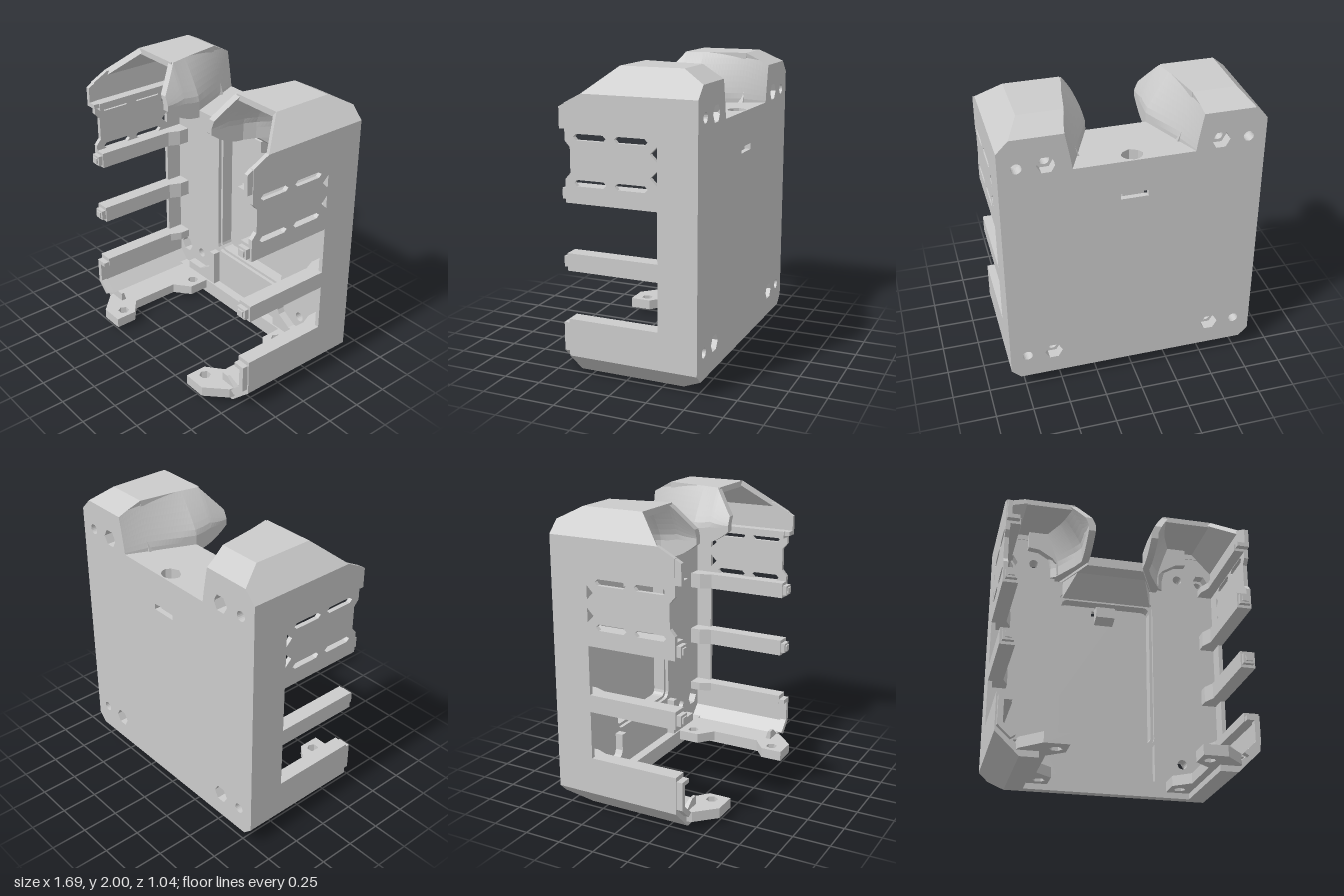
import * as THREE from 'three';
import { ConvexGeometry } from 'three/addons/geometries/ConvexGeometry.js';

const V = (a) => new THREE.Vector3(...a);
const path = (pts) => pts.map(([x, y]) => new THREE.Vector2(x, y));
const polygon = (cx, cy, r, n, turn = 0) => Array.from({ length: n }, (_, i) => {
  const a = turn + (i / n) * Math.PI * 2;
  return [cx + r * Math.cos(a), cy + r * Math.sin(a)];
});
const roundRect = (x0, x1, y0, y1, r) =>
  [[x1 - r, y1 - r, 0], [x0 + r, y1 - r, 1], [x0 + r, y0 + r, 2], [x1 - r, y0 + r, 3]].flatMap(([cx, cy, q]) =>
    [0, 1, 2, 3].map((i) => {
      const a = (q + i / 3) * Math.PI / 2;
      return [cx + r * Math.cos(a), cy + r * Math.sin(a)];
    }));

function extrude(outline, holes, depth) {
  const s = new THREE.Shape(path(outline));
  for (const h of holes) s.holes.push(new THREE.Path(path(h)));
  return new THREE.ExtrudeGeometry(s, { depth, bevelEnabled: false });
}
const hull = (pts) => new ConvexGeometry(pts.map(V));
const box = (x0, x1, y0, y1, z0, z1) =>
  new THREE.BoxGeometry(x1 - x0, y1 - y0, z1 - z0).translate((x0 + x1) / 2, (y0 + y1) / 2, (z0 + z1) / 2);
// plan outline (x, z) extruded from yTop downwards
const slab = (outline, holes, yTop, h) => extrude(outline, holes, h).rotateX(Math.PI / 2).translate(0, yTop, 0);

function flat(geo) {
  const g = geo.index ? geo.toNonIndexed() : geo;
  g.computeVertexNormals();
  return g;
}
function mirrorX(geo) {
  const g = geo.clone(), p = g.attributes.position;
  for (let i = 0; i < p.count; i += 3) {
    const t = [0, 2, 1].map((k) => new THREE.Vector3().fromBufferAttribute(p, i + k));
    t.forEach((v, k) => p.setXYZ(i + k, -v.x, v.y, v.z));
  }
  g.computeVertexNormals();
  return g;
}

export function createModel() {
  const group = new THREE.Group();
  const mat = new THREE.MeshStandardMaterial({ color: 0xcccccc, flatShading: true });
  const add = (name, geo) => {
    const m = new THREE.Mesh(flat(geo), mat);
    m.name = name;
    group.add(m);
    return m;
  };
  const pair = (name, geo) => {
    const m = add(name + 'Left', geo);
    add(name + 'Right', mirrorX(m.geometry));
  };

  // Back plate in layers: screw holes, nut recesses, stepped pocket, cable channel
  const half = [[0.783, 0.09], [0.845, 0.15], [0.845, 1.84], [0.767, 1.92], [0.44, 1.92], [0.39, 1.6]];
  const pocket = [-0.33, 0.33, 0.41, 1.47, 0.04];
  const layers = [
    { z: -0.52, d: 0.015, outer: 'round', inner: 'hex', slot: true },
    { z: -0.505, d: 0.02, outer: 'round', inner: 'hex', slot: true, channel: 1.45 },
    { z: -0.485, d: 0.035, outer: 'round', inner: 'hex', pocket, channel: 1.474 },
    { z: -0.45, d: 0.05, outer: 'hex', inner: 'round', pocket, channel: 1.474 },
    { z: -0.4, d: 0.025, outer: 'hex', inner: 'round', pocket: [-0.35, 0.35, 0.39, 1.51, 0.05] },
  ];
  for (const L of layers) {
    const right = half.slice();
    if (L.channel) right.push([0.065, 1.6], [0.065, L.channel]);
    const outline = [...right, ...right.map(([x, y]) => [-x, y]).reverse()];
    const holes = [];
    const bore = (x, y, kind) => holes.push(kind === 'hex' ? polygon(x, y, 0.06, 6) : polygon(x, y, 0.034, 20));
    for (const s of [-1, 1]) for (const y of [0.265, 1.725]) {
      bore(s * 0.73, y, L.outer);
      bore(s * 0.55, y, L.inner);
    }
    if (L.slot) holes.push([[-0.09, 1.4], [0.09, 1.4], [0.09, 1.44], [-0.09, 1.44]]);
    if (L.pocket) holes.push(roundRect(...L.pocket));
    add('backPlate', extrude(outline, holes, L.d).translate(0, 0, L.z));
  }
  pair('plateTopBevel', hull([[0.69, 2, -0.37], [0.4, 2, -0.37], [0.767, 1.92, -0.52], [0.44, 1.92, -0.52],
    [0.767, 1.92, -0.37], [0.41, 1.92, -0.37]]));
  add('bottomBeam', hull([-1, 1].flatMap((s) => [[s * 0.69, 0, -0.37], [s * 0.69, 0, -0.31],
    [s * 0.783, 0.09, -0.52], [s * 0.783, 0.09, -0.31], [s * 0.783, 0.11, -0.52], [s * 0.783, 0.11, -0.31]])));

  // Side walls, drawn as (z, y): two windows open to the front, slots and vents
  const wall = [[-0.52, 0.15], [0.355, 0.15], [0.355, 0.4], [-0.26, 0.4], [-0.26, 0.72], [0.355, 0.72],
    [0.355, 0.835], [-0.26, 0.835], [-0.26, 1.16], [0.355, 1.16], [0.355, 1.31], [0.32, 1.35], [0.32, 1.51],
    [0.355, 1.55], [0.355, 1.78], [0.24, 1.84], [-0.52, 1.84]];
  const vents = [];
  for (const y of [1.29, 1.575]) for (const z of [-0.09, 0.185])
    vents.push([[z - 0.11, y], [z - 0.09, y - 0.02], [z + 0.09, y - 0.02], [z + 0.11, y], [z + 0.09, y + 0.02], [z - 0.09, y + 0.02]]);
  for (const y of [1.36, 1.505]) vents.push([[-0.215, y], [-0.26, y + 0.045], [-0.26, y - 0.045]]);
  pair('sideWall', extrude(wall, vents, 0.03).rotateY(-Math.PI / 2).translate(0.845, 0, 0));

  // Sloped corner walls above and below
  const thick = (pts, dx, dy) => hull([...pts, ...pts.map(([x, y, z]) => [x + dx, y + dy, z])]);
  pair('topCorner', thick([[0.845, 1.84, -0.52], [0.767, 1.92, -0.52], [0.69, 2, -0.37], [0.69, 2, 0.05],
    [0.738, 1.95, 0.05], [0.845, 1.84, 0.24]], -0.028, -0.03));
  pair('bottomCorner', thick([[0.845, 0.15, -0.52], [0.783, 0.09, -0.52], [0.69, 0, -0.37], [0.69, 0, 0.355], [0.845, 0.15, 0.355]], -0.028, 0.03));

  // Hood roofs
  pair('roof', thick([[0.4, 2, -0.37], [0.69, 2, -0.37], [0.69, 2, 0.05], [0.33, 2, 0.05]], 0, -0.04));

  // Curved walls beside the top notch: a box bent by rule
  const lerp = (a, b, t) => a + (b - a) * Math.min(1, Math.max(0, t));
  const cheek = new THREE.BoxGeometry(1, 1, 1, 1, 10, 35).translate(0.5, 0.5, 0.5);
  const cp = cheek.attributes.position;
  for (let i = 0; i < cp.count; i++) {
    const z = -0.52 + 0.7 * cp.getZ(i);
    const top = z < -0.3 ? lerp(1.92, 2, (z + 0.52) / 0.15) : lerp(2, 1.83, (z - 0.04) / 0.14);
    const bottom = lerp(1.62, 1.73, ((z + 0.08) / 0.26) ** 2 * Math.sign(z + 0.08));
    const y = lerp(bottom, top, cp.getY(i));
    const foot = lerp(1.67, 1.77, (z + 0.52) / 0.57);
    const t = Math.max(0, (y - foot) / (2 - foot));
    const low = lerp(0.39, 0.2, (z + 0.52) / 0.44), high = lerp(0.45, 0.32, (z + 0.52) / 0.57);
    const w = z < -0.36 ? 0.1 : lerp(0.08, 0.05, (z + 0.36) / 0.2);
    cp.setXYZ(i, low + (high - low) * t ** 1.15 + w * cp.getX(i), y, z);
  }
  pair('notchWall', cheek);

  // Shelf at the notch floor, its sloped underside and the cable holder
  const cable = [...polygon(0, -0.44, 0.07, 24, Math.PI).slice(0, 13), [0.05, -0.41], [0, -0.385], [-0.05, -0.41]];
  add('shelf', slab([[-0.4, -0.52], [0.4, -0.52], [0.205, -0.08], [-0.205, -0.08]], [cable], 1.67, 0.07));
  add('shelfGusset', hull([-1, 1].flatMap((s) => [[s * 0.25, 1.605, -0.2], [s * 0.27, 1.56, -0.265],
    [s * 0.33, 1.47, -0.376], [s * 0.33, 1.605, -0.376]])));
  add('cableHolder', hull([-1, 1].flatMap((s) => [[s * 0.07, 1.33, -0.485], [s * 0.07, 1.36, -0.4],
    [s * 0.07, 1.44, -0.4], [s * 0.07, 1.45, -0.485]])));

  // Inner ribs flaring into the plate
  for (const [y0, y1] of [[0.34, 0.4], [0.72, 0.835], [1.16, 1.27], [1.6, 1.65]])
    pair('rib', slab([[0.84, -0.38], [0.71, -0.38], [0.71, -0.3], [0.745, -0.22], [0.745, 0.355], [0.84, 0.355]], [], y1, y1 - y0));

  // Stepped clips on the front edges
  for (const [y0, y1] of [[0.74, 0.81], [1.18, 1.25]]) {
    pair('clip', box(0.755, 0.83, y0, y1, 0.35, 0.385));
    pair('clipNose', box(0.77, 0.815, y0 + 0.015, y1 - 0.015, 0.38, 0.395));
  }
  pair('lowerClip', box(0.8, 0.835, 0.18, 0.37, 0.35, 0.395));
  pair('lowerClipFoot', thick([[0.835, 0.18, 0.35], [0.835, 0.18, 0.395], [0.75, 0.1, 0.35], [0.75, 0.1, 0.395]], -0.03, 0.02));
  pair('lowerClipHook', box(0.75, 0.83, 0.34, 0.37, 0.35, 0.395));
  pair('upperClip', hull([[0.81, 1.62, 0.35], [0.84, 1.62, 0.35], [0.81, 1.62, 0.395], [0.84, 1.62, 0.395],
    [0.81, 1.78, 0.35], [0.84, 1.78, 0.35], [0.81, 1.755, 0.395], [0.84, 1.755, 0.395]]));
  pair('upperClipHook', box(0.755, 0.83, 1.62, 1.65, 0.35, 0.395));

  // Floor rails with mounting tabs
  pair('floorRail', slab([[0.71, -0.34], [0.41, -0.34], [0.41, -0.16], [0.52, -0.07], [0.52, 0.28], [0.41, 0.37],
    [0.41, 0.52], [0.57, 0.52], [0.7, 0.39], [0.71, 0.355]],
    [polygon(0.48, 0.42, 0.04, 6), polygon(0.48, -0.23, 0.04, 6)], 0.11, 0.07));
  pair('floorSkid', box(0.57, 0.69, 0, 0.045, -0.34, 0.355));
  pair('floorStop', hull([[0.59, 0.1, 0.32], [0.73, 0.1, 0.32], [0.59, 0.1, 0.36], [0.73, 0.1, 0.36],
    [0.59, 0.17, 0.36], [0.64, 0.17, 0.36], [0.59, 0.17, 0.34], [0.64, 0.17, 0.34]]));

  // Raised corner guides on the plate
  pair('lowerGuide', extrude([[0.335, 0.1], [0.64, 0.1], [0.64, 0.17], [0.5, 0.17], [0.4, 0.23], [0.385, 0.26],
    [0.385, 0.375], [0.335, 0.375]], [], 0.06).translate(0, 0, -0.38));
  pair('upperGuide', extrude([[0.6, 1.97], [0.6, 1.83], [0.52, 1.82], [0.42, 1.76], [0.39, 1.72], [0.385, 1.63],
    [0.3, 1.63], [0.42, 1.97]], [], 0.06).translate(0, 0, -0.38));

  return group;
}
